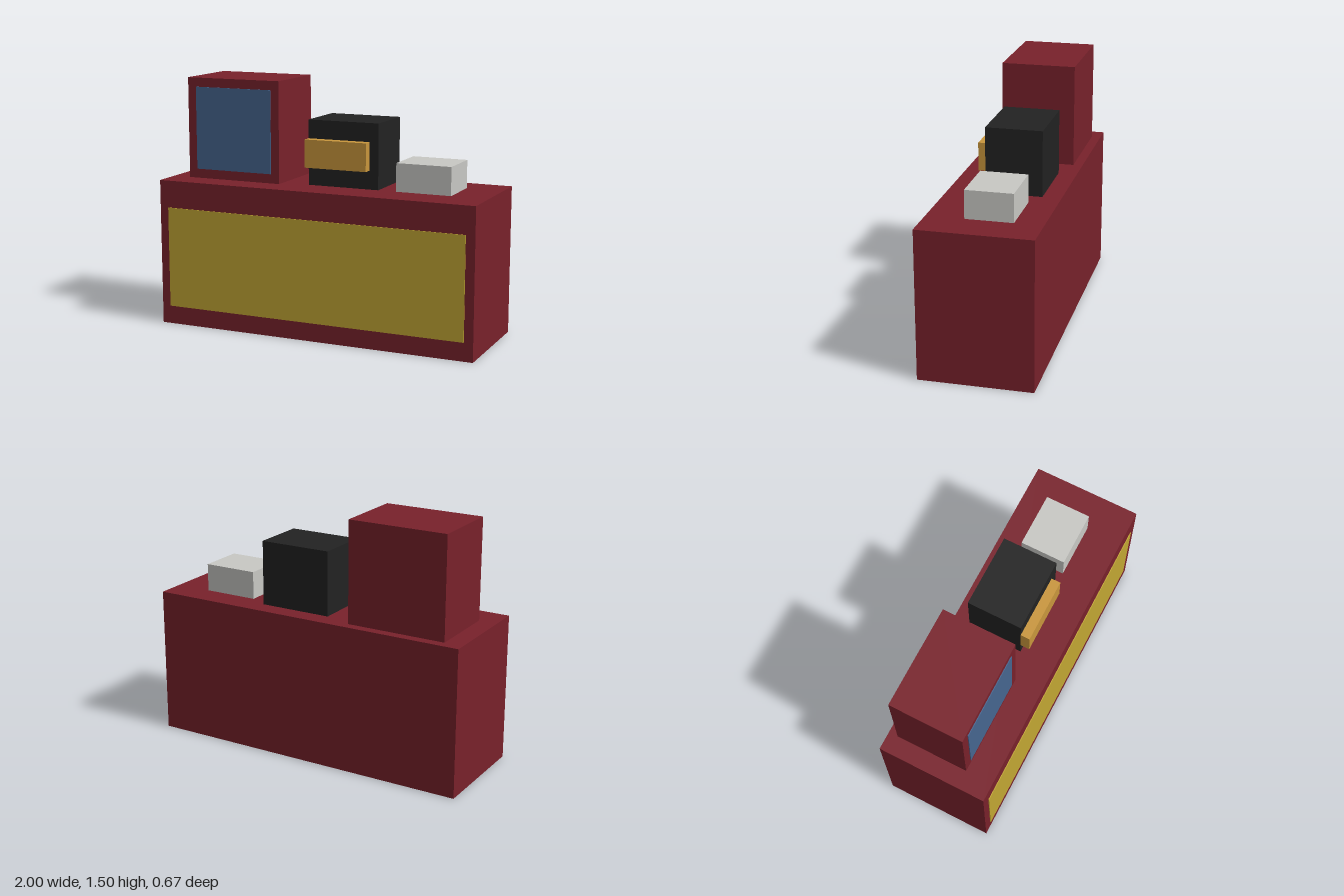
import * as THREE from 'three';

// Named flat colours; the shells are open, so both sides show
const mat = (name, color) =>
  new THREE.MeshStandardMaterial({ name, color, side: THREE.DoubleSide });

// Face order of BoxGeometry
const FACES = ['right', 'left', 'top', 'bottom', 'front', 'back'];

// Box between two corners, leaving out the named face
function openBox(name, material, [x0, y0, z0], [x1, y1, z1], openFace) {
  const geo = new THREE.BoxGeometry(x1 - x0, y1 - y0, z1 - z0);
  const skip = FACES.indexOf(openFace);
  const index = Array.from(geo.index.array).filter((_, i) => Math.floor(i / 6) !== skip);
  geo.setIndex(index);
  geo.clearGroups();
  const mesh = new THREE.Mesh(geo, material);
  mesh.name = name;
  mesh.position.set((x0 + x1) / 2, (y0 + y1) / 2, (z0 + z1) / 2);
  return mesh;
}

export function createModel() {
  const red = mat('dark red', 0x78212b);
  const yellow = mat('mustard yellow', 0xc2a633);
  const blue = mat('screen blue', 0x46658f);
  const black = mat('charcoal', 0x222222);
  const orange = mat('amber', 0xc9963c);
  const white = mat('light grey', 0xc8c8c4);

  const group = new THREE.Group();
  group.name = 'counter';
  const top = 0.889;

  group.add(
    // Counter, hollow and open underneath, with a panel set through its front
    openBox('counterBody', red, [-1, 0, -0.336], [1, top, 0.331], 'bottom'),
    openBox('frontPanel', yellow, [-0.945, 0.111, 0.278], [0.945, 0.724, 0.336], 'back'),
    // Display cabinet with its screen
    openBox('displayCabinet', red, [-0.889, top, -0.28], [-0.28, 1.5, 0.163], 'bottom'),
    openBox('displayScreen', blue, [-0.834, 0.945, 0.16], [-0.333, 1.445, 0.168], 'back'),
    // Machine with a tray on its front
    openBox('machine', black, [-0.111, top, -0.225], [0.333, 1.278, 0.109], 'bottom'),
    openBox('machineTray', orange, [-0.111, 1.0, 0.109], [0.278, 1.167, 0.165], 'back'),
    // Small box at the end
    openBox('smallBox', white, [0.444, top, -0.169], [0.778, 1.056, 0.109], 'bottom'),
  );
  return group;
}
